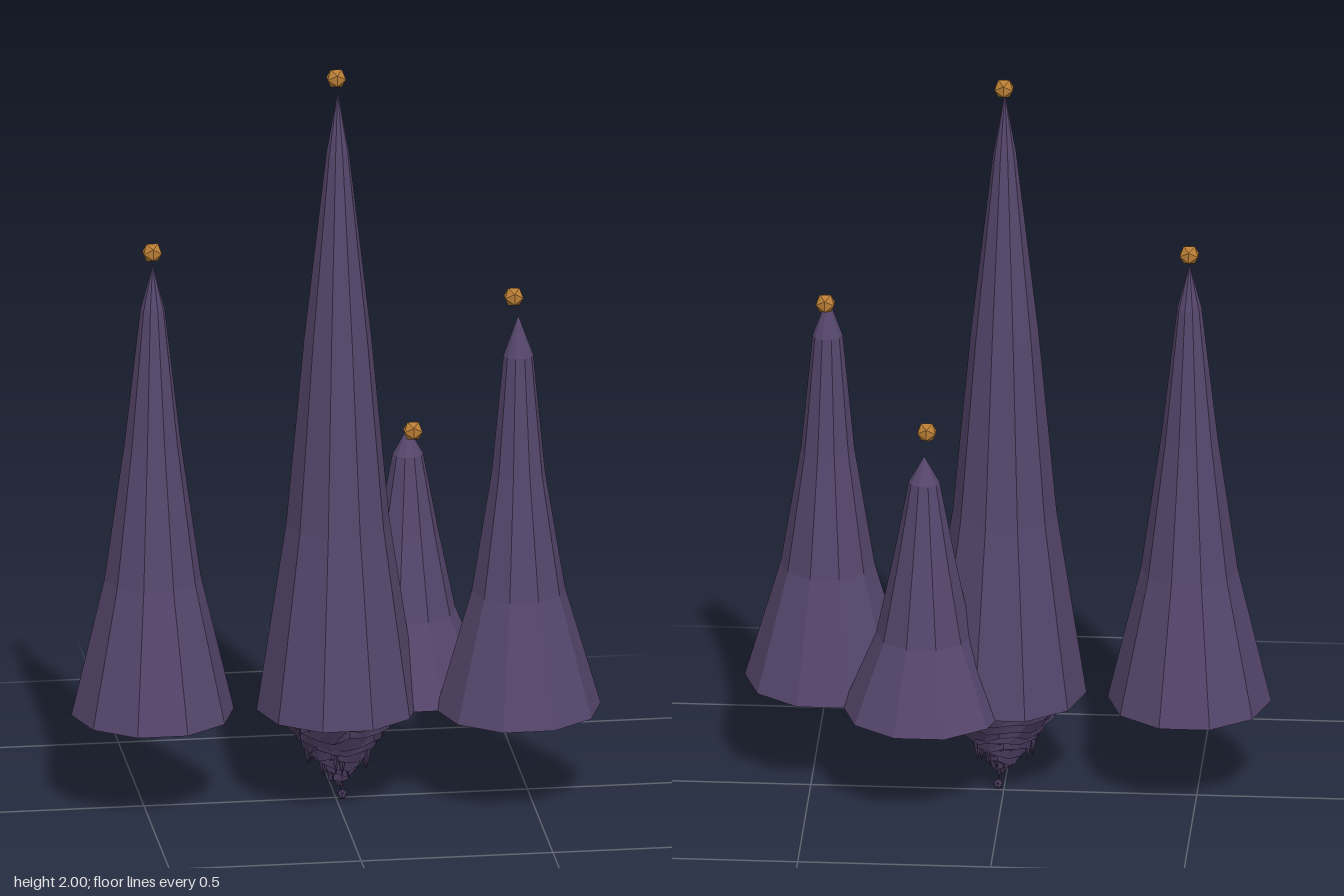
import * as THREE from 'three';

const spireMat = new THREE.MeshStandardMaterial({ name: 'dusky purple', color: 0x56466c, flatShading: true, side: THREE.DoubleSide });
const rockMat = new THREE.MeshStandardMaterial({ name: 'dark purple', color: 0x483a5c, flatShading: true, side: THREE.DoubleSide });
const goldMat = new THREE.MeshStandardMaterial({ name: 'amber', color: 0xb87d35, flatShading: true });

const BASE = 0.265;

// x, z, apex height, orb height, radii at 0, 30, 60 and 90 % of the height
const SPIRES = [
  { name: 'tallSpire', x: 0, z: 0.04, top: 1.95, orb: 1.975, r: [0.212, 0.135, 0.088, 0.03] },
  { name: 'rightSpire', x: -0.48, z: 0.018, top: 1.49, orb: 1.52, r: [0.212, 0.126, 0.074, 0.032] },
  { name: 'leftSpire', x: 0.463, z: 0.1, top: 1.335, orb: 1.355, r: [0.215, 0.122, 0.07, 0.039] },
  { name: 'rearSpire', x: 0.2, z: -0.09, top: 0.975, orb: 1.0, r: [0.212, 0.124, 0.08, 0.04] },
];

function mesh(name, geometry, material, x = 0, y = 0, z = 0) {
  const m = new THREE.Mesh(geometry, material);
  m.name = name;
  m.position.set(x, y, z);
  return m;
}

function seeded(seed) {
  return () => (seed = (seed * 16807) % 2147483647) / 2147483647;
}

// Ten-sided hollow spire, open underneath
function spireGeometry({ top, r }) {
  const h = top - BASE;
  const pts = r.map((radius, i) => new THREE.Vector2(radius, h * 0.3 * i));
  pts.push(new THREE.Vector2(0.0005, h));
  return new THREE.LatheGeometry(pts, 10).rotateY(Math.PI / 10);
}

// Open ring of rock with a ragged lower edge
function skirtGeometry(rTop, rBottom, h, sides, rand) {
  const g = new THREE.CylinderGeometry(rTop, rBottom, h, sides, 1, true);
  const p = g.attributes.position;
  const drop = Array.from({ length: sides }, () => rand());
  for (let i = 0; i < p.count; i++) {
    if (p.getY(i) > 0) continue;
    const d = drop[(i % (sides + 1)) % sides];
    const s = 1.06 - 0.22 * d;
    p.setXYZ(i, p.getX(i) * s, p.getY(i) - 0.03 * d + 0.008, p.getZ(i) * s);
  }
  return g;
}

function rock() {
  const group = new THREE.Group();
  group.name = 'hangingRock';
  group.position.set(0.005, 0, 0.018);
  const rand = seeded(41);

  // Solid core tapering to a point
  const profile = [[0.003, 0.04], [0.02, 0.07], [0.05, 0.11], [0.085, 0.155], [0.118, 0.2], [0.14, 0.262], [0.001, 0.264]];
  group.add(mesh('rockCore', new THREE.LatheGeometry(profile.map(([r, y]) => new THREE.Vector2(r, y)), 14), rockMat));

  // Overlapping ragged layers
  const tiers = [[0.25, 0.158], [0.228, 0.147], [0.205, 0.13], [0.18, 0.112], [0.155, 0.092], [0.13, 0.07], [0.107, 0.05], [0.085, 0.032]];
  tiers.forEach(([y, r], i) => {
    const layer = mesh('rockLayer' + i, skirtGeometry(r * 0.97, r * 0.95, 0.03, Math.max(8, 22 - 2 * i), rand), rockMat, 0, y, 0);
    layer.rotation.y = i * 0.7;
    group.add(layer);
  });

  // Hanging shards
  for (let i = 0; i < 16; i++) {
    const a = i * 2.4, r = 0.03 + 0.055 * rand();
    const shard = mesh('rockShard' + i, new THREE.ConeGeometry(0.014, 0.07, 4).rotateX(Math.PI), rockMat,
      Math.sin(a) * r, 0.075 + r * 0.7, Math.cos(a) * r);
    group.add(shard);
  }

  // Thin tip with a small bead
  group.add(mesh('rockTip', new THREE.ConeGeometry(0.008, 0.06, 5).rotateX(Math.PI), rockMat, 0.008, 0.045, -0.006));
  group.add(mesh('tipBead', new THREE.IcosahedronGeometry(0.014, 0), rockMat, 0.01, 0.013, -0.008));
  return group;
}

export function createModel() {
  const model = new THREE.Group();
  model.name = 'floatingSpires';
  const orb = new THREE.IcosahedronGeometry(0.028, 0);
  for (const s of SPIRES) {
    model.add(mesh(s.name, spireGeometry(s), spireMat, s.x, BASE, s.z));
    model.add(mesh(s.name + 'Orb', orb, goldMat, s.x, s.orb, 0.01));
  }
  model.add(rock());
  return model;
}
